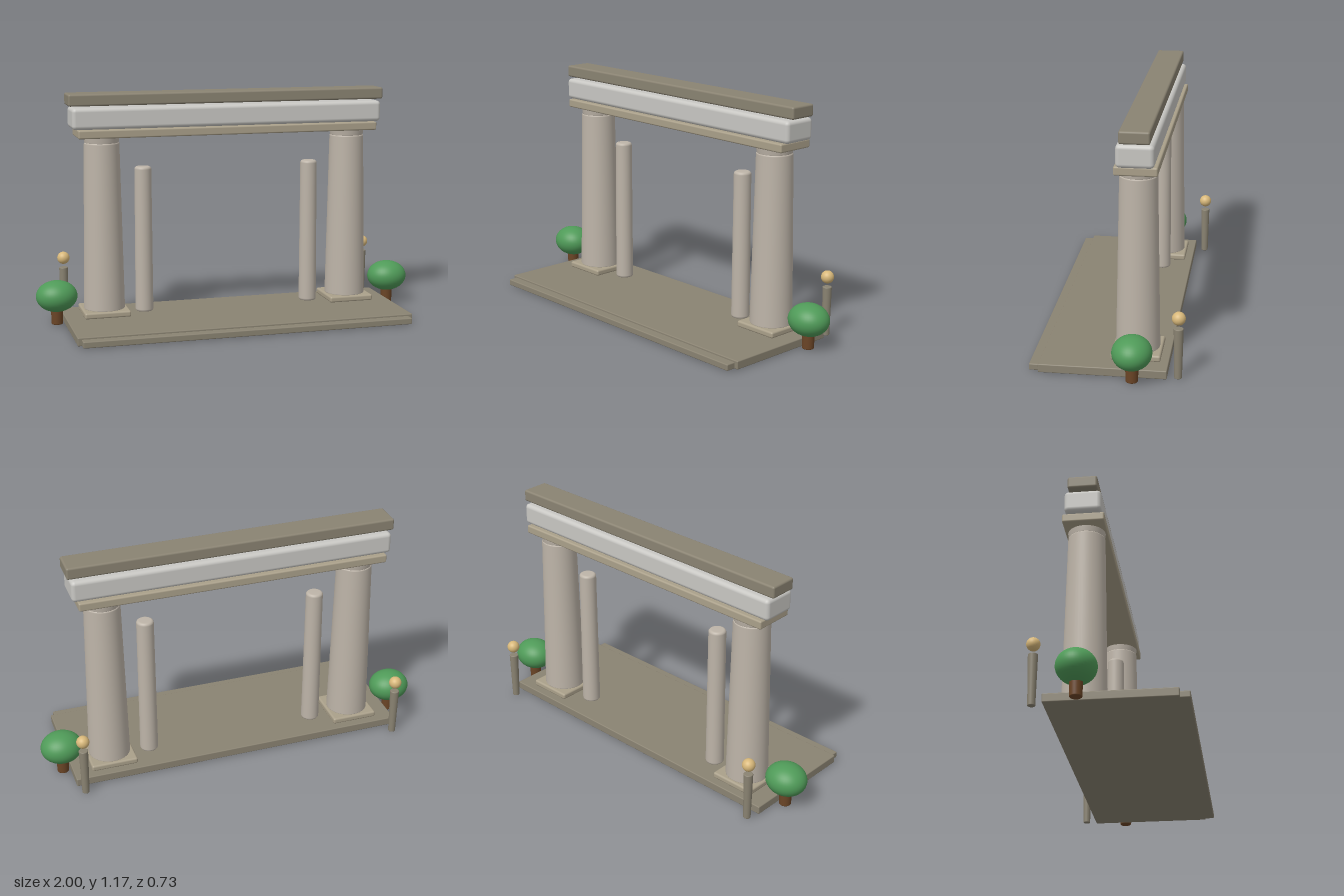
import * as THREE from 'three';
import { RoundedBoxGeometry } from 'three/addons/geometries/RoundedBoxGeometry.js';

const mat = (color) => new THREE.MeshStandardMaterial({ color });
const darkStone = mat(0x8a8372);
const tanStone = mat(0xaaa08a);
const columnStone = mat(0xbdb4a8);
const paleStone = mat(0xc8c7c3);
const leaf = mat(0x4f9a58);
const bark = mat(0x6b4526);
const lampGlow = mat(0xd8b87a);

export function createModel() {
  const model = new THREE.Group();
  const axisZ = -0.126; // depth of the colonnade

  const add = (name, geometry, material, x, y, z, parent = model) => {
    const mesh = new THREE.Mesh(geometry, material);
    mesh.name = name;
    mesh.position.set(x, y, z);
    parent.add(mesh);
    return mesh;
  };

  // Soft-edged block given by its extents
  const block = (name, material, [x0, x1], [y0, y1], [z0, z1], r, parent) =>
    add(name, new RoundedBoxGeometry(x1 - x0, y1 - y0, z1 - z0, 3, r), material,
      (x0 + x1) / 2, (y0 + y1) / 2, (z0 + z1) / 2, parent);

  // Tapered round shaft with rounded rims, standing on y = 0
  const shaft = (rBottom, rTop, h, bevel) => {
    const pts = [new THREE.Vector2(0, 0)];
    const steps = 4;
    for (let i = 0; i <= steps; i++) {
      const a = (i / steps) * Math.PI / 2;
      pts.push(new THREE.Vector2(rBottom - bevel * (1 - Math.sin(a)), bevel * (1 - Math.cos(a))));
    }
    for (let i = 0; i <= steps; i++) {
      const a = (i / steps) * Math.PI / 2;
      pts.push(new THREE.Vector2(rTop - bevel * (1 - Math.cos(a)), h - bevel * (1 - Math.sin(a))));
    }
    pts.push(new THREE.Vector2(0, h));
    return new THREE.LatheGeometry(pts, 40);
  };

  // Floor slab and front step
  block('platform', darkStone, [-0.86, 0.86], [0.003, 0.045], [-0.283, 0.32], 0.005);
  block('frontStep', darkStone, [-0.84, 0.84], [0.003, 0.035], [0.2, 0.366], 0.005);

  // Stacked beams over the columns
  block('lintel', tanStone, [-0.783, 0.783], [0.953, 0.996], [-0.227, -0.026], 0.008);
  block('beam', paleStone, [-0.81, 0.81], [0.996, 1.104], [-0.214, -0.038], 0.02);
  block('cornice', darkStone, [-0.826, 0.826], [1.112, 1.172], [-0.197, -0.055], 0.01);

  for (const s of [1, -1]) {
    const side = s > 0 ? 'left' : 'right';

    // Main column with plinth and neck
    const column = new THREE.Group();
    column.name = `${side}Column`;
    column.position.set(s * 0.652, 0, axisZ);
    model.add(column);
    block('plinth', tanStone, [-0.118, 0.118], [0.043, 0.075], [-0.118, 0.118], 0.01, column);
    add('columnShaft', shaft(0.105, 0.089, 0.856, 0.008), columnStone, 0, 0.07, 0, column);
    add('columnNeck', shaft(0.086, 0.09, 0.035, 0.004), columnStone, 0, 0.922, 0, column);

    // Slim free-standing column
    add(`${side}SlimColumn`, shaft(0.046, 0.043, 0.753, 0.014), columnStone, s * 0.443, 0.042, axisZ);

    // Clipped tree beside the platform
    const tree = new THREE.Group();
    tree.name = `${side}Tree`;
    tree.position.set(s * 0.895, 0, axisZ);
    model.add(tree);
    add('trunk', shaft(0.029, 0.031, 0.1, 0.005), bark, 0, 0.003, 0, tree);
    const crown = add('crown', new THREE.SphereGeometry(1, 40, 24), leaf, 0, 0.148, 0, tree);
    crown.scale.set(0.105, 0.08, 0.094);

    // Lamp post behind, its globe floating just above
    const lamp = new THREE.Group();
    lamp.name = `${side}Lamp`;
    lamp.position.set(s * 0.828, 0, -0.333);
    model.add(lamp);
    add('lampPost', shaft(0.018, 0.023, 0.25, 0.004), darkStone, 0, 0, 0, lamp);
    add('lampGlobe', new THREE.SphereGeometry(0.032, 28, 18), lampGlow, 0, 0.299, 0, lamp);
  }

  return model;
}
